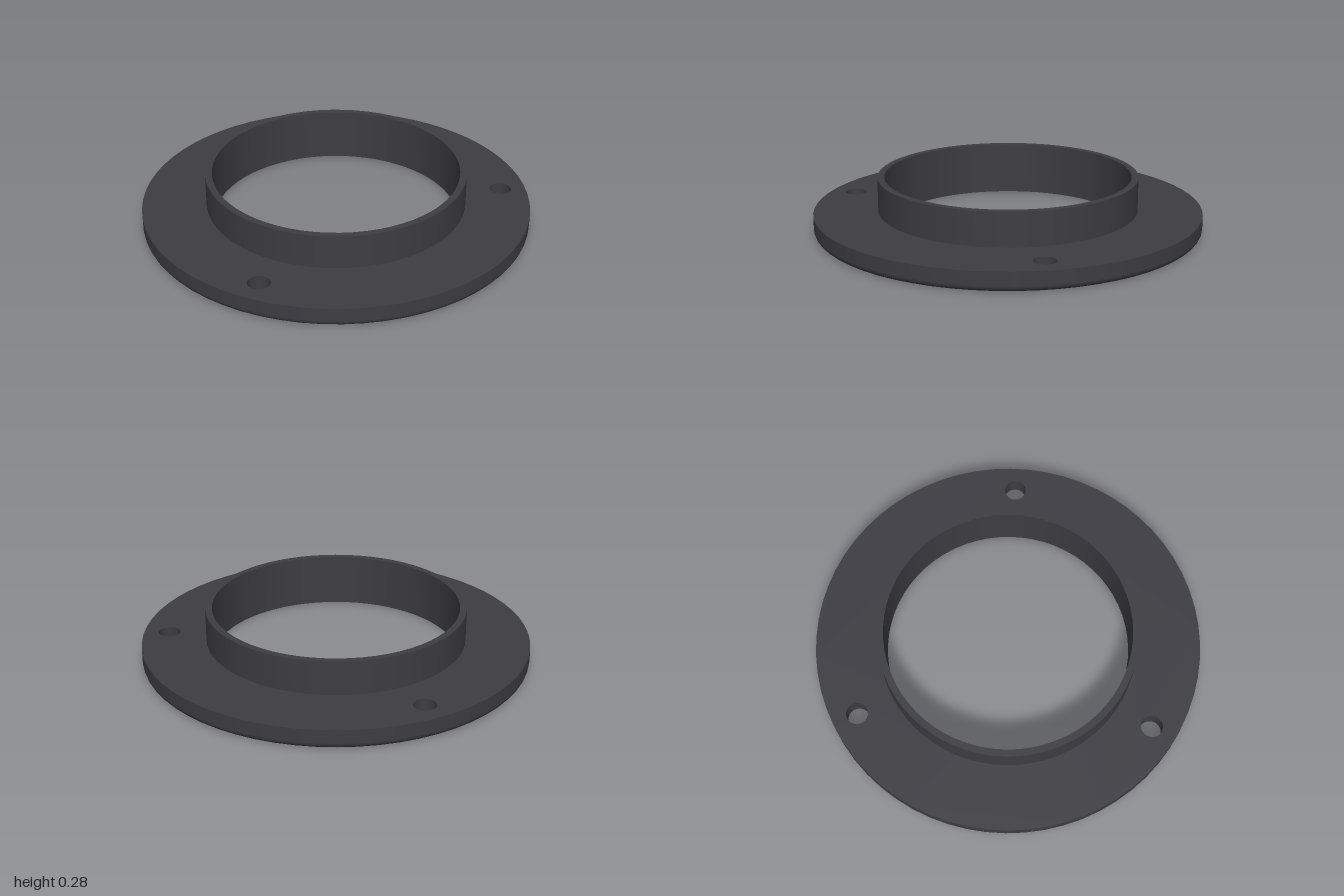
import * as THREE from 'three';

const SEG = 64, HOLE_SEG = 32;
const R_OUT = 1, R_COLLAR = 0.67, R_BORE = 0.635, R_HOLE = 0.056;
const FLANGE_TOP = 0.1, COLLAR_TOP = 0.275, FILLET = 0.03;

// Bolt hole centres [x, z], three evenly spaced with one at the back
const holes = [0, 1, 2].map((i) => {
  const a = -Math.PI / 2 + (i * 2 * Math.PI) / 3;
  return [0.868 * Math.cos(a), 0.868 * Math.sin(a)];
});

function circle(x, y, r, n) {
  return Array.from({ length: n }, (_, i) => {
    const a = (i / n) * Math.PI * 2;
    return new THREE.Vector2(x + r * Math.cos(a), y + r * Math.sin(a));
  });
}

// Profiles running upward face outward, downward face inward
function lathe(points, n = SEG) {
  return new THREE.LatheGeometry(points.map(([r, y]) => new THREE.Vector2(r, y)), n);
}

// Flat drilled ring; dir 1 faces up, -1 faces down
function drilledRing(innerRadius, y, dir) {
  const shape = new THREE.Shape(circle(0, 0, dir > 0 ? R_OUT : R_OUT - FILLET, SEG));
  shape.holes.push(new THREE.Path(circle(0, 0, innerRadius, SEG)));
  for (const [x, z] of holes) {
    shape.holes.push(new THREE.Path(circle(x, -dir * z, R_HOLE, HOLE_SEG)));
  }
  return new THREE.ShapeGeometry(shape).rotateX((-dir * Math.PI) / 2).translate(0, y, 0);
}

export function createModel() {
  const model = new THREE.Group();
  model.name = 'flangedCollar';
  const charcoal = new THREE.MeshStandardMaterial({ color: 0x3d3c42 });
  charcoal.name = 'charcoal';

  const flange = new THREE.Group();
  flange.name = 'flange';
  const collar = new THREE.Group();
  collar.name = 'collar';
  model.add(flange, collar);

  const add = (group, name, geometry) => {
    const mesh = new THREE.Mesh(geometry, charcoal);
    mesh.name = name;
    group.add(mesh);
    return mesh;
  };

  // Flange rim with a rounded lower edge
  const rim = [];
  for (let i = 0; i <= 6; i++) {
    const a = (i / 6) * (Math.PI / 2);
    rim.push([R_OUT - FILLET + FILLET * Math.sin(a), FILLET - FILLET * Math.cos(a)]);
  }
  add(flange, 'flangeRim', lathe(rim));
  add(flange, 'flangeSide', lathe([[R_OUT, FILLET], [R_OUT, FLANGE_TOP]]));
  add(flange, 'flangeTop', drilledRing(R_COLLAR, FLANGE_TOP, 1));
  add(flange, 'flangeBottom', drilledRing(R_BORE, 0, -1));

  // Bolt hole walls
  for (const [x, z] of holes) {
    add(flange, 'boltHole', lathe([[R_HOLE, FLANGE_TOP], [R_HOLE, 0]], HOLE_SEG)).position.set(x, 0, z);
  }

  // Raised collar and the through bore
  add(collar, 'collarWall', lathe([[R_COLLAR, FLANGE_TOP], [R_COLLAR, COLLAR_TOP]]));
  add(collar, 'collarLip', lathe([[R_COLLAR, COLLAR_TOP], [R_BORE, COLLAR_TOP]]));
  add(collar, 'bore', lathe([[R_BORE, COLLAR_TOP], [R_BORE, 0]]));

  return model;
}
